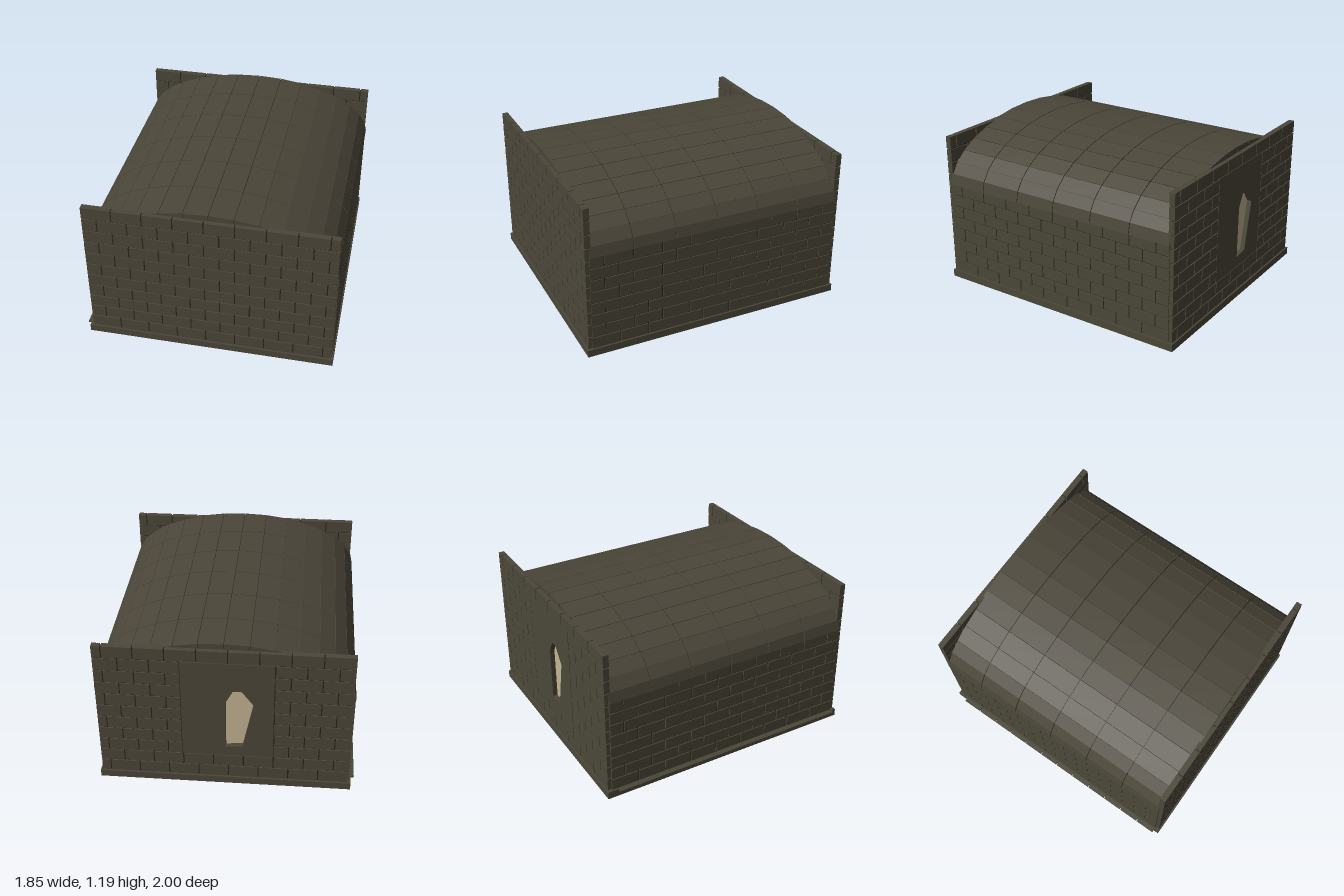
import * as THREE from 'three';
import { mergeGeometries } from 'three/addons/utils/BufferGeometryUtils.js';

const GAP = 0.008;
const CX = 0.012; // centre line of the vault

const mat = (name, color) => {
  const m = new THREE.MeshStandardMaterial({ color });
  m.name = name;
  return m;
};

// Box from its minimum and maximum corners
function box(x0, x1, y0, y1, z0, z1) {
  return new THREE.BoxGeometry(x1 - x0, y1 - y0, z1 - z0)
    .translate((x0 + x1) / 2, (y0 + y1) / 2, (z0 + z1) / 2);
}

// Running-bond layout: list of [u0, u1, v0, v1] rectangles
function courses(u0, u1, v0, v1, rows, length, firstJoint) {
  const out = [], h = (v1 - v0) / rows;
  for (let r = 0; r < rows; r++) {
    let a = u0, b = u0 + firstJoint[r % 2];
    while (a < u1 - 0.01) {
      const end = Math.min(b, u1);
      out.push([a, end, v0 + r * h, v0 + (r + 1) * h]);
      a = b;
      b += length;
    }
  }
  return out;
}

// Remove the part of each brick that falls inside a panel
function cutPanel(list, [pu0, pu1, pv0, pv1]) {
  return list.flatMap(([a, b, c, d]) => {
    const mid = (c + d) / 2;
    if (mid < pv0 || mid > pv1 || b <= pu0 || a >= pu1) return [[a, b, c, d]];
    return [[a, Math.min(b, pu0), c, d], [Math.max(a, pu1), b, c, d]]
      .filter(([s, e]) => e - s > 0.02);
  });
}

export function createModel() {
  const stone = mat('stone', 0x4b4739);
  const roofStone = mat('roofStone', 0x4b4639);
  const mortar = mat('mortar', 0x26231b);
  const paneColor = mat('paleGlass', 0xc4b592);
  const model = new THREE.Group();
  model.name = 'vaultedHall';

  const add = (name, parts, material) => {
    const mesh = new THREE.Mesh(Array.isArray(parts) ? mergeGeometries(parts) : parts, material);
    mesh.name = name;
    model.add(mesh);
    return mesh;
  };

  // Base slab and the thin ledge along one side
  add('base', box(-0.9, 0.92, 0, 0.055, -1, 1), stone);
  const ledge = [];
  for (let i = 0; i < 12; i++) {
    const z = -0.92 + i * 0.157;
    ledge.push(box(-0.925, -0.895, 0.04, 0.055, z + 0.003, z + 0.154));
  }
  add('sideLedge', ledge, stone);

  // Gable walls
  const g = GAP / 2;
  const X0 = -0.875, X1 = 0.905, Y0 = 0.055, Y1 = 1.155;
  const panel = [-0.335, 0.31, 0.255, 1.055];
  const gable = courses(X0, X1, Y0, Y1, 11, 0.2145, [0.2145, 0.107]);
  const gableBricks = (list, z0, z1) => list.map(([a, b, c, d]) =>
    box(a === X0 ? a : a + g, b === X1 ? b : b - g, c + g, d - g, z0, z1));
  add('frontWall', gableBricks(gable, 0.947, 0.99), stone);
  add('frontMortar', box(X0 + 0.008, X1 - 0.008, Y0, Y1 - 0.01, 0.955, 0.982), mortar);
  add('backWall', gableBricks(cutPanel(gable, panel), -0.99, -0.947), stone);
  const [px0, px1, py0, py1] = panel;
  add('backMortar', [
    box(X0 + 0.008, px0, Y0, Y1 - 0.01, -0.982, -0.955),
    box(px1, X1 - 0.008, Y0, Y1 - 0.01, -0.982, -0.955),
    box(px0, px1, Y0, py0, -0.982, -0.955),
    box(px0, px1, py1, Y1 - 0.01, -0.982, -0.955),
  ], mortar);

  // Smooth panel with the window opening
  const windowPoints = [[0, 0.335], [-0.12, 0.345], [-0.195, 0.715], [-0.11, 0.83], [-0.05, 0.825], [0, 0.73]]
    .map(([x, y]) => new THREE.Vector2(x, y));
  const panelShape = new THREE.Shape([[px0, py0], [px1, py0], [px1, py1], [px0, py1]]
    .map(([x, y]) => new THREE.Vector2(x, y)));
  panelShape.holes.push(new THREE.Path(windowPoints));
  add('windowPanel', new THREE.ExtrudeGeometry(panelShape, { depth: 0.043, bevelEnabled: false })
    .translate(0, 0, -0.99), stone);
  add('windowPane', new THREE.ExtrudeGeometry(new THREE.Shape(windowPoints), { depth: 0.006, bevelEnabled: false })
    .translate(0, 0, -0.955), paneColor);

  // Side walls
  const side = courses(-0.965, 0.965, Y0, 0.79, 8, 0.2145, [0.2145, 0.107]);
  for (const [name, x0, x1] of [['left', 0.865, 0.912], ['right', -0.888, -0.841]]) {
    add(name + 'Wall', side.map(([a, b, c, d]) => box(x0, x1, c + g, d - g, a + g, b - g)), stone);
    add(name + 'Mortar', box(x0 + 0.008, x1 - 0.008, Y0, 0.785, -0.955, 0.955), mortar);
  }

  // Vault: elliptical ring sector between two angles
  function vaultPiece(angles, inset, z0, z1) {
    const arc = (a, b) => angles.map((t) =>
      new THREE.Vector2(CX + a * Math.cos(t), 0.78 + b * Math.sin(t)));
    const outer = arc(0.905 - inset, 0.415 - inset);
    const inner = arc(0.855 + inset, 0.365 + inset).reverse();
    return new THREE.ExtrudeGeometry(new THREE.Shape([...outer, ...inner]),
      { depth: z1 - z0, bevelEnabled: false }).translate(0, 0, z0);
  }
  const SEG = 16, STRIPS = 6, step = Math.PI / SEG, stripLen = 1.924 / STRIPS;
  const slabs = [];
  for (let s = 0; s < STRIPS; s++) {
    const z = -0.962 + s * stripLen;
    for (let i = 0; i < SEG; i++) {
      slabs.push(vaultPiece([i * step + 0.002, (i + 1) * step - 0.002], 0, z + 0.003, z + stripLen - 0.003));
    }
  }
  add('roofSlabs', slabs, roofStone);
  const all = Array.from({ length: SEG + 1 }, (_, i) => i * step);
  add('roofMortar', vaultPiece(all, 0.008, -0.955, 0.955), mortar);

  return model;
}
